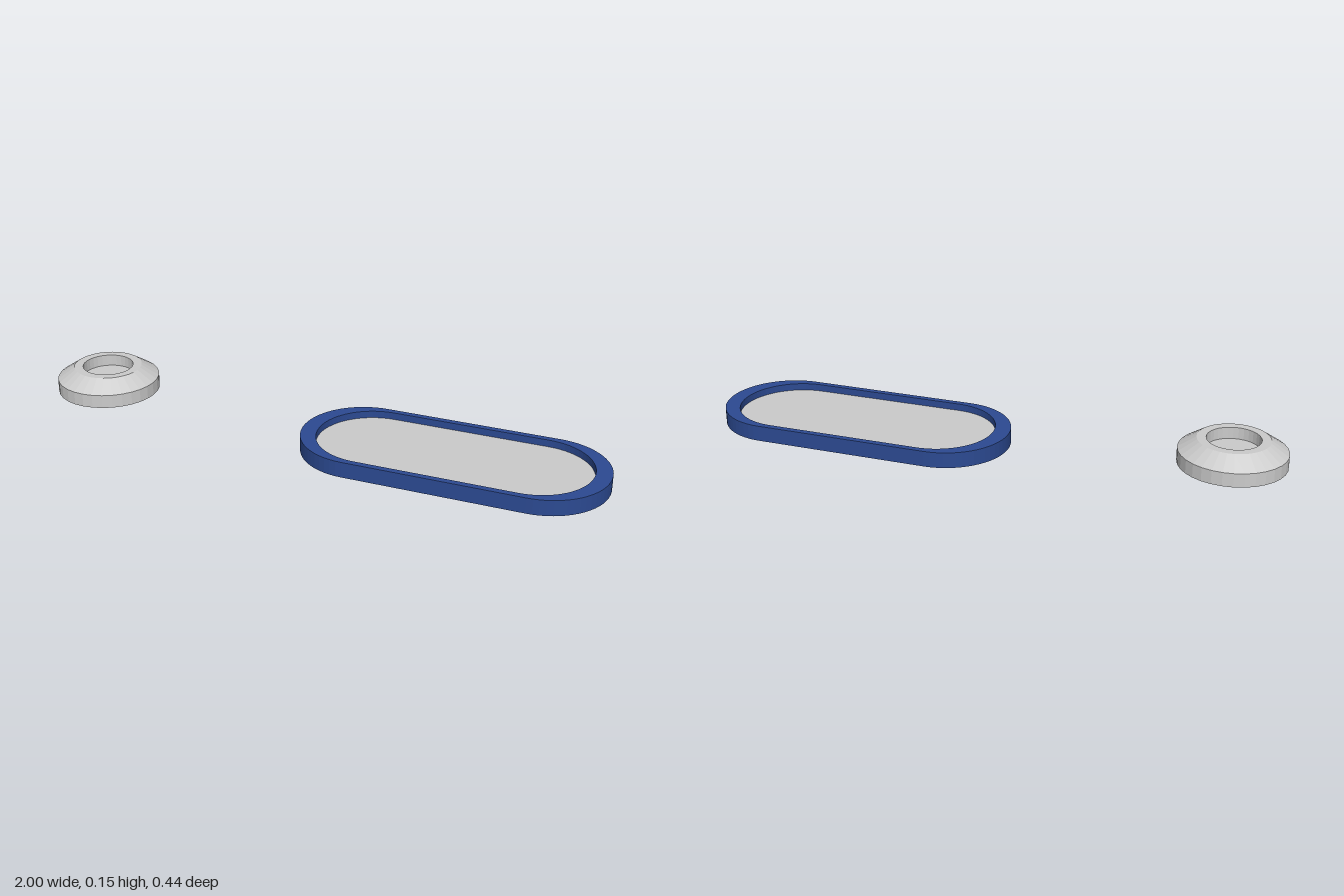
import * as THREE from 'three';

// Rounded-end slot outline between x0 and x1 with half width r
function slot(Type, x0, x1, r) {
  const s = new Type();
  s.moveTo(x0 + r, -r);
  s.lineTo(x1 - r, -r);
  s.absarc(x1 - r, 0, r, -Math.PI / 2, Math.PI / 2, false);
  s.lineTo(x0 + r, r);
  s.absarc(x0 + r, 0, r, Math.PI / 2, Math.PI * 1.5, false);
  return s;
}

// Extrude a flat outline upwards from y0 to y1
function slab(name, shape, y0, y1, material) {
  const geo = new THREE.ExtrudeGeometry(shape, { depth: y1 - y0, bevelEnabled: false, curveSegments: 16 });
  geo.rotateX(-Math.PI / 2);
  geo.translate(0, y0, 0);
  const mesh = new THREE.Mesh(geo, material);
  mesh.name = name;
  return mesh;
}

export function createModel() {
  const model = new THREE.Group();
  model.name = 'trayAndPuck';

  const blue = new THREE.MeshStandardMaterial({ color: 0x2c4a92, flatShading: true });
  const pale = new THREE.MeshStandardMaterial({ color: 0xdddadd, flatShading: true });
  const grey = new THREE.MeshStandardMaterial({ color: 0xcccccc, flatShading: true });

  // Tray: solid base, raised rim and pale inset floor
  const tray = new THREE.Group();
  tray.name = 'tray';
  const FLOOR = 0.03;
  const rim = slot(THREE.Shape, -0.056, 1, 0.22);
  rim.holes.push(slot(THREE.Path, 0, 0.945, 0.198));
  tray.add(
    slab('trayBase', slot(THREE.Shape, -0.056, 1, 0.22), 0, 0.02, blue),
    slab('trayRim', rim, 0.02, 0.055, blue),
    slab('trayFloor', slot(THREE.Shape, 0, 0.945, 0.198), 0.02, FLOOR, pale)
  );
  model.add(tray);

  // Puck: straight side, sloped shoulder, flat lip and round recess
  const profile = [
    [0, 0], [0.18, 0], [0.18, 0.047], [0.12, 0.087], [0.089, 0.087], [0.089, 0.047], [0, 0.047],
  ].map(([r, y]) => new THREE.Vector2(r, y));
  const puck = new THREE.Mesh(new THREE.LatheGeometry(profile, 32), grey);
  puck.name = 'puck';
  puck.position.set(-0.82, 0.066, 0.012);
  model.add(puck);

  return model;
}
